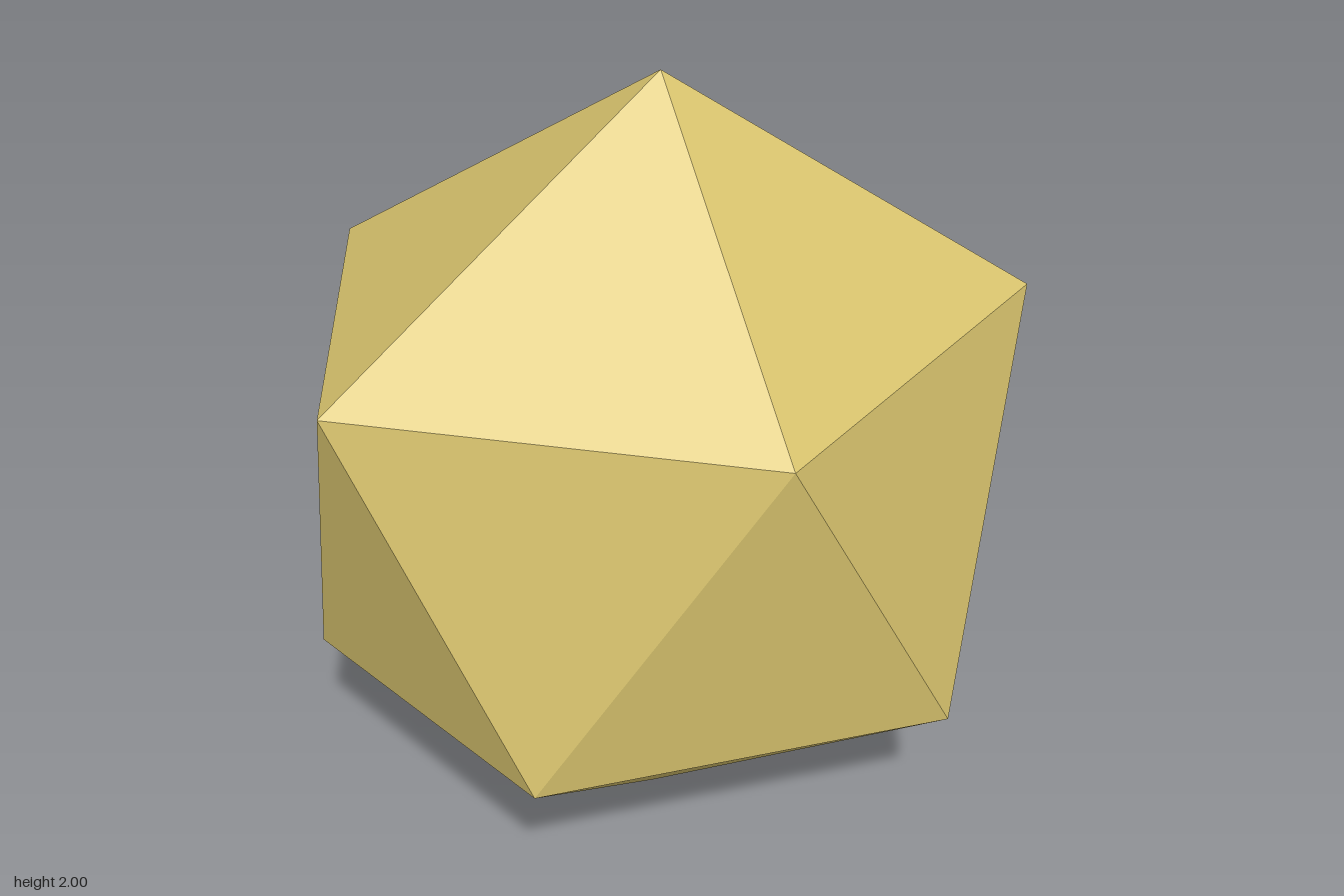
import * as THREE from 'three';

export function createModel() {
  const group = new THREE.Group();
  group.name = 'facetedStone';

  const sand = new THREE.MeshStandardMaterial({ color: 0xd9c46e, flatShading: true });
  sand.name = 'sandyGold';

  // Two uneven five-point rings between a top and a bottom tip
  const top = [0, 2, 0.01];
  const upper = [
    [0.8, 1.455, 0], [0.25, 1.42, 0.62], [-0.72, 1.405, 0.39],
    [-0.7, 1.405, -0.355], [0.235, 1.49, -0.605],
  ];
  const lower = [
    [0.64, 0.54, 0.395], [-0.295, 0.545, 0.627], [-0.8, 0.51, 0.04],
    [-0.305, 0.55, -0.63], [0.605, 0.58, -0.41],
  ];
  const bottom = [-0.02, 0, 0.01];

  // Cap triangles above and below, zigzag band between the rings
  const corners = [];
  for (let i = 0; i < 5; i++) {
    const j = (i + 1) % 5;
    corners.push(top, upper[j], upper[i]);
    corners.push(upper[j], lower[i], upper[i]);
    corners.push(upper[j], lower[j], lower[i]);
    corners.push(lower[i], lower[j], bottom);
  }

  const geometry = new THREE.BufferGeometry();
  geometry.setAttribute('position', new THREE.Float32BufferAttribute(corners.flat(), 3));
  geometry.computeVertexNormals();

  const stone = new THREE.Mesh(geometry, sand);
  stone.name = 'stone';
  group.add(stone);
  return group;
}
